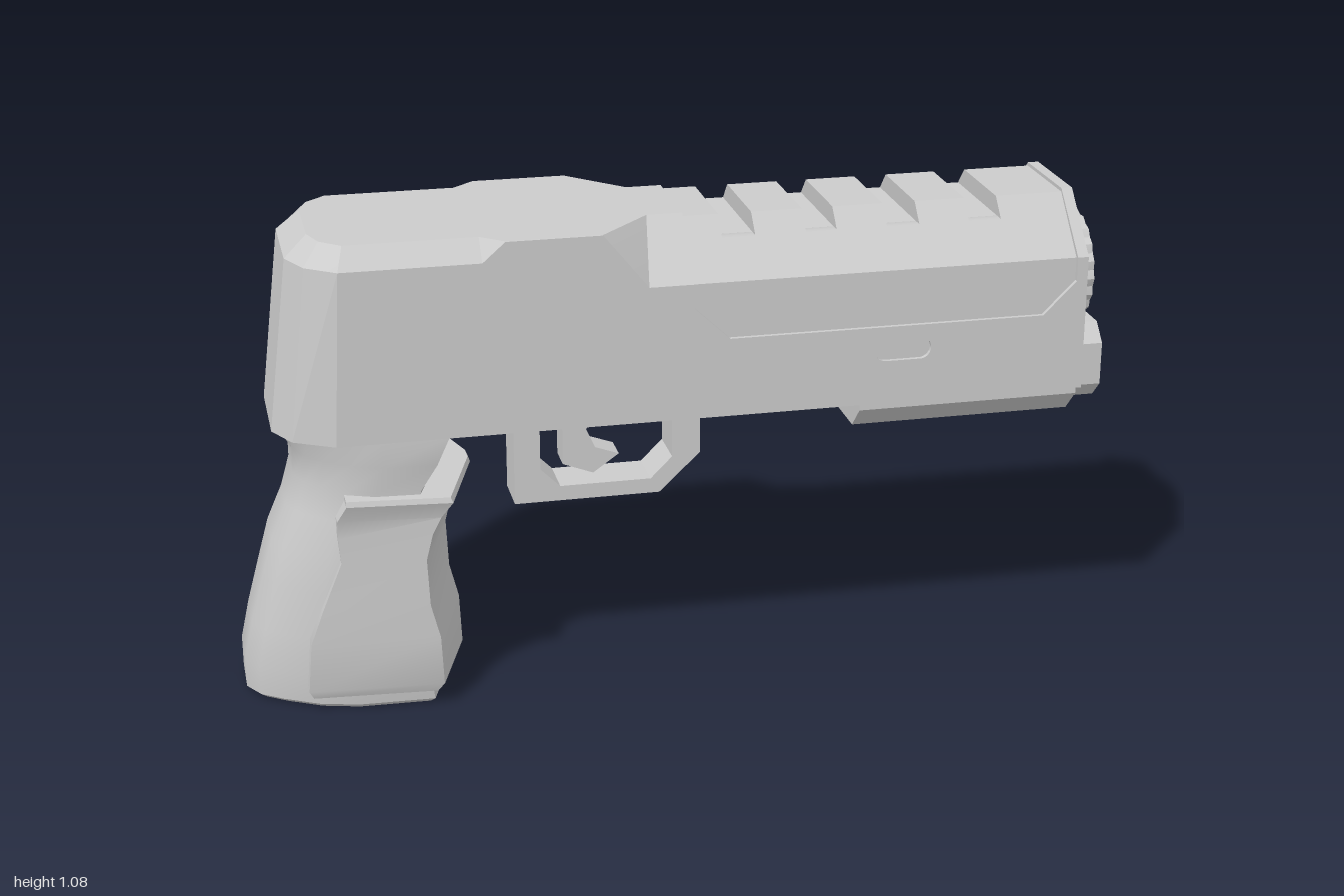
import * as THREE from 'three';
import { toCreasedNormals } from 'three/addons/utils/BufferGeometryUtils.js';

const material = new THREE.MeshStandardMaterial({ color: 0xcccccc });

function addMesh(parent, name, geometry, crease = 0.5) {
  const mesh = new THREE.Mesh(toCreasedNormals(geometry, crease), material);
  mesh.name = name;
  parent.add(mesh);
}

const polygon = (pts) => new THREE.Shape(pts.map(([x, y]) => new THREE.Vector2(x, y)));

// Shape in the x-y plane, extruded from z0 to z1
function slab(shape, z0, z1) {
  return new THREE.ExtrudeGeometry(shape, { depth: z1 - z0, bevelEnabled: false, curveSegments: 10 }).translate(0, 0, z0);
}

// Symmetric shape in the z-y plane, extruded from x0 to x1
function bar(shape, x0, x1) {
  return new THREE.ExtrudeGeometry(shape, { depth: x1 - x0, bevelEnabled: false, curveSegments: 24 }).rotateY(Math.PI / 2).translate(x0, 0, 0);
}

// Closed skin through rings of equal point count, capped at both ends
function loft(rings) {
  const n = rings[0].length;
  const pos = rings.flat(2);
  const idx = [];
  for (let i = 0; i < rings.length - 1; i++) {
    for (let j = 0; j < n; j++) {
      const a = i * n + j, b = i * n + (j + 1) % n;
      idx.push(a, b, b + n, a, b + n, a + n);
    }
  }
  [0, rings.length - 1].forEach((r, end) => {
    const c = pos.length / 3;
    for (let k = 0; k < 3; k++) pos.push(rings[r].reduce((s, p) => s + p[k], 0) / n);
    for (let j = 0; j < n; j++) {
      const a = r * n + j, b = r * n + (j + 1) % n;
      if (end) idx.push(c, a, b); else idx.push(c, b, a);
    }
  });
  // Turn the faces outward when the signed volume is negative
  const v = (i) => new THREE.Vector3().fromArray(pos, i * 3);
  let volume = 0;
  for (let i = 0; i < idx.length; i += 3) volume += v(idx[i]).dot(v(idx[i + 1]).cross(v(idx[i + 2])));
  if (volume < 0) idx.reverse();
  const g = new THREE.BufferGeometry();
  g.setAttribute('position', new THREE.Float32BufferAttribute(pos, 3));
  g.setIndex(idx);
  return g;
}

function octagon(cy, hw, hh, c) {
  return polygon([[-hw + c, cy - hh], [hw - c, cy - hh], [hw, cy - hh + c], [hw, cy + hh - c],
    [hw - c, cy + hh], [-hw + c, cy + hh], [-hw, cy + hh - c], [-hw, cy - hh + c]]);
}

function circleHole(y, r) {
  return new THREE.Path().absarc(0, y, r, 0, Math.PI * 2, true);
}

function buildReceiver(g) {
  // bottom x, half width, shoulder x, shoulder y, top x, top half width
  const stations = [
    [-0.914, 0, -0.866, 1.035, -0.815, 0],
    [-0.914, 0.11, -0.866, 1.035, -0.815, 0.09],
    [-0.875, 0.185, -0.832, 1.035, -0.795, 0.15],
    [-0.785, 0.235, -0.765, 1.035, -0.75, 0.19],
    [-0.46, 0.235, -0.46, 1.035, -0.46, 0.19],
    [-0.41, 0.235, -0.41, 1.079, -0.41, 0.234],
    [-0.2, 0.235, -0.2, 1.079, -0.2, 0.234],
    [-0.1, 0.235, -0.1, 0.955, -0.08, 0.11],
    [0, 0.235, 0, 0.955, 0, 0.11],
  ];
  addMesh(g, 'receiver', loft(stations.map(([xb, w, xs, ys, xt, t]) => [
    [xb, 0.645, w], [xs, ys, w], [xt, 1.08, t], [xt, 1.08, -t], [xs, ys, -w], [xb, 0.645, -w],
  ])), 0.1);
}

function buildSlide(g) {
  // Lower shell with an open channel that slopes down to the barrel
  addMesh(g, 'slideShell', bar(polygon([[-0.225, 0.645], [0.225, 0.645], [0.225, 0.952], [0.15, 1.03],
    [0.08, 0.955], [0.08, 0.73], [-0.08, 0.73], [-0.08, 0.955], [-0.15, 1.03], [-0.225, 0.952]]), 0, 0.875));

  // Roof teeth between the cooling slots
  const roof = polygon([[-0.15, 1.03], [0.15, 1.03], [0.11, 1.072], [-0.11, 1.072]]);
  [[0, 0.08], [0.155, 0.27], [0.34, 0.455], [0.53, 0.645], [0.72, 0.875]].forEach(([a, b]) =>
    addMesh(g, 'slideRoofTooth', bar(roof, a, b)));

  // Raised side plates, with a pill-shaped slot
  const plate = polygon([[0, 0.645], [0.875, 0.645], [0.875, 0.9], [0.8, 0.825], [0.08, 0.825], [0, 0.9]]);
  const pill = new THREE.Path();
  pill.absarc(0.435, 0.77, 0.025, Math.PI / 2, Math.PI * 1.5, false);
  pill.absarc(0.515, 0.77, 0.025, -Math.PI / 2, Math.PI / 2, false);
  pill.closePath();
  plate.holes.push(pill);
  addMesh(g, 'leftSidePlate', slab(plate, 0.223, 0.235));
  addMesh(g, 'rightSidePlate', slab(plate, -0.235, -0.223));

  // Front rim
  const rim = polygon([[-0.235, 0.645], [0.235, 0.645], [0.235, 0.955], [0.11, 1.08], [-0.11, 1.08], [-0.235, 0.955]]);
  rim.holes.push(circleHole(0.865, 0.118));
  addMesh(g, 'frontRim', bar(rim, 0.875, 0.9));
}

function buildBarrel(g) {
  const profile = [[0, 0.02], [0.12, 0.02], [0.12, 0.93], [0.096, 0.93], [0.096, 0.4], [0, 0.4]];
  const tube = new THREE.LatheGeometry(profile.map(([r, x]) => new THREE.Vector2(r, x)), 32);
  addMesh(g, 'barrel', tube.rotateZ(-Math.PI / 2).translate(0, 0.865, 0));

  // Scalloped muzzle ring
  const pts = [];
  for (let i = 0; i < 80; i++) {
    const a = i / 80 * Math.PI * 2, r = 0.126 + 0.003 * Math.cos(a * 20);
    pts.push([r * Math.cos(a), 0.865 + r * Math.sin(a)]);
  }
  const ring = polygon(pts);
  ring.holes.push(circleHole(0.865, 0.096));
  addMesh(g, 'muzzleRing', bar(ring, 0.895, 0.96));

  // Octagonal housing and plug below the barrel
  addMesh(g, 'underBarrelHousing', bar(octagon(0.652, 0.13, 0.117, 0.055), 0.41, 0.93));
  addMesh(g, 'underBarrelPlug', bar(octagon(0.648, 0.102, 0.09, 0.04), 0.92, 1.0));
}

function buildTrigger(g) {
  const guard = polygon([[-0.375, 0.4], [-0.04, 0.4], [0.055, 0.49], [0.055, 0.65], [-0.375, 0.65]]);
  guard.holes.push(polygon([[-0.315, 0.48], [-0.27, 0.435], [-0.06, 0.435], [-0.01, 0.485],
    [-0.01, 0.59], [-0.05, 0.632], [-0.27, 0.632], [-0.315, 0.59]]));
  addMesh(g, 'triggerGuard', slab(guard, -0.055, 0.055));

  const trigger = polygon([[-0.26, 0.65], [-0.26, 0.48], [-0.19, 0.453], [-0.13, 0.495], [-0.185, 0.515],
    [-0.205, 0.56], [-0.19, 0.6], [-0.145, 0.625], [-0.1, 0.605], [-0.07, 0.65]]);
  addMesh(g, 'trigger', slab(trigger, -0.035, 0.035));
}

// Horizontal grip section: narrow back, flaring flanks, front ridge on the centre line
function gripRing([y, back, front, w]) {
  const d = front - back;
  const half = [[back, 0.27], [back + d * 0.06, 0.5], [back + d * 0.16, 0.66], [back + d * 0.32, 0.86],
    [back + d * 0.5, 0.97], [front - 0.07, 1], [front - 0.008, 0.12]];
  return [...half.map(([x, k]) => [x, y, k * w]), ...half.reverse().map(([x, k]) => [x, y, -k * w])];
}

function buildGrip(g) {
  // y, back x, front x, half width
  const core = [
    [0, -0.985, -0.53, 0.2], [0.01, -1, -0.52, 0.21], [0.08, -1, -0.53, 0.218], [0.17, -0.98, -0.54, 0.218],
    [0.28, -0.95, -0.56, 0.218], [0.37, -0.925, -0.56, 0.217], [0.45, -0.89, -0.55, 0.215],
    [0.52, -0.87, -0.535, 0.215], [0.585, -0.87, -0.5, 0.235], [0.65, -0.905, -0.47, 0.235],
  ];
  addMesh(g, 'gripCore', loft(core.map(gripRing)), 0.6);

  // Raised wrap around the flanks and front, slightly narrower at its back edge
  const wrap = [
    [0.035, -0.86, -0.515, 0.222], [0.055, -0.87, -0.5, 0.23], [0.17, -0.86, -0.505, 0.23],
    [0.25, -0.83, -0.525, 0.229], [0.36, -0.785, -0.53, 0.229], [0.42, -0.79, -0.515, 0.23],
    [0.46, -0.79, -0.495, 0.231], [0.5, -0.77, -0.47, 0.25], [0.512, -0.77, -0.475, 0.246],
  ];
  addMesh(g, 'gripWrap', loft(wrap.map(([y, b, f, w]) => [
    [b, y, w * 0.91], [f - 0.07, y, w], [f, y, 0.02], [f, y, -0.02], [f - 0.07, y, -w], [b, y, -w * 0.91],
  ])), 0.4);
}

function buildSafety(g) {
  // Lever on the right flank, with a raised pivot
  const lever = polygon([[-0.545, 0.8], [-0.49, 0.785], [-0.42, 0.84], [-0.42, 0.885], [-0.45, 0.905], [-0.49, 0.87]]);
  addMesh(g, 'safetyLever', slab(lever, -0.268, -0.23));
  const pivot = new THREE.CylinderGeometry(0.025, 0.025, 0.04, 16).rotateX(Math.PI / 2);
  addMesh(g, 'safetyPivot', pivot.translate(-0.475, 0.845, -0.252));
}

export function createModel() {
  const model = new THREE.Group();
  model.name = 'pistol';
  [buildReceiver, buildSlide, buildBarrel, buildTrigger, buildGrip, buildSafety].forEach((build) => build(model));
  // The lever sticks out on one side, so the body sits slightly off centre
  model.children.forEach((part) => { part.position.z = 0.01; });
  return model;
}
